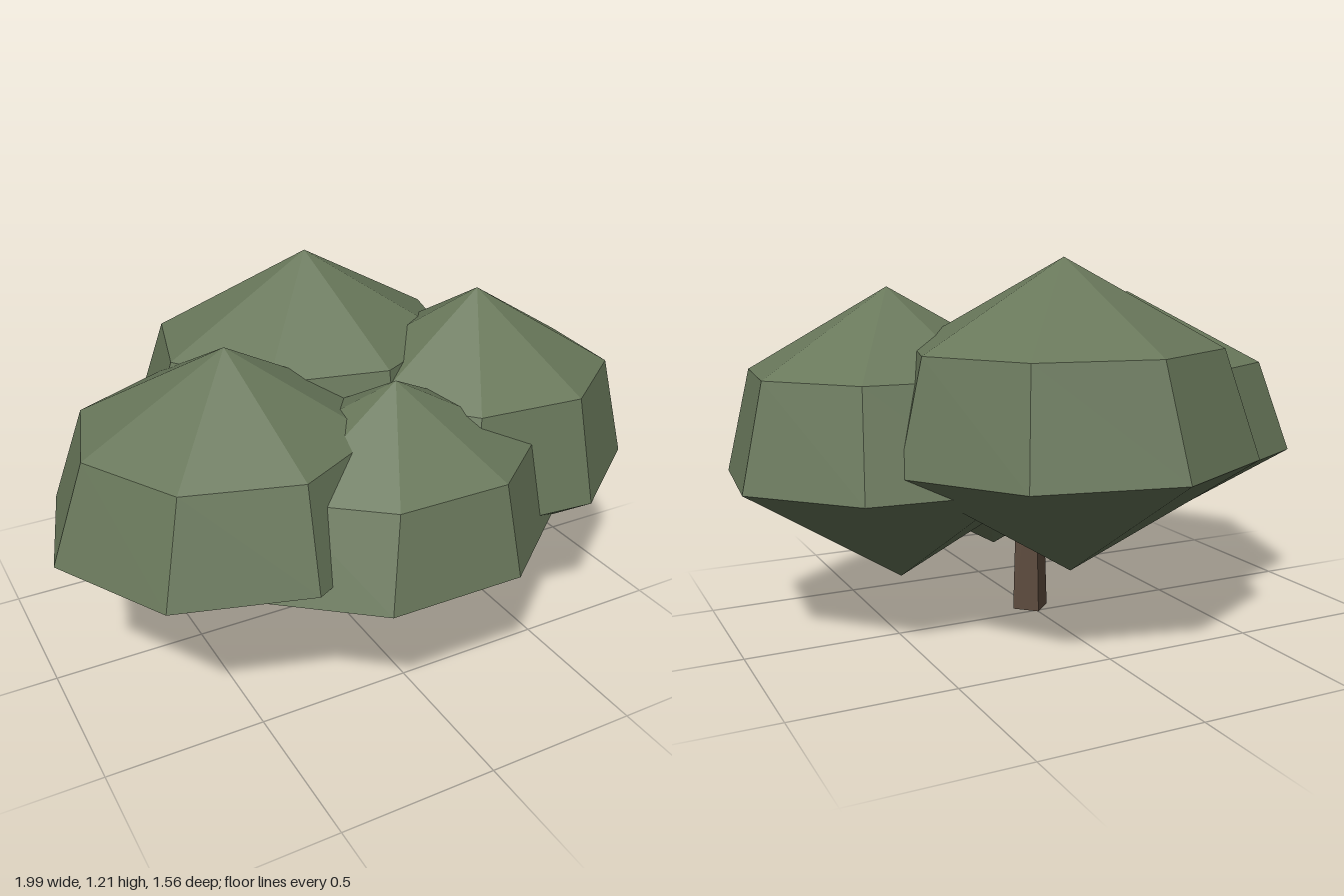
import * as THREE from 'three';

const SIDES = 8;

// Faceted leaf clump: a point below, two oval rings and a point on top
function clumpGeometry({ x, z, rx, rz, turn, heights, ratio }) {
  const [bottom, lower, upper, top] = heights;
  const ring = (y, scale, shift) => Array.from({ length: SIDES }, (_, i) => {
    const a = THREE.MathUtils.degToRad(turn + (i * 360) / SIDES);
    return [x + shift + rx * scale * Math.cos(a), y, z + rz * scale * Math.sin(a)];
  });
  const low = ring(lower, 1, 0);
  const high = ring(upper, ratio, 0.02);
  const foot = [x, bottom, z];
  const peak = [x + 0.028, top, z];

  const points = [];
  for (let i = 0; i < SIDES; i++) {
    const j = (i + 1) % SIDES;
    points.push(foot, low[i], low[j]);
    points.push(low[i], high[i], high[j], low[i], high[j], low[j]);
    points.push(high[i], peak, high[j]);
  }
  const geometry = new THREE.BufferGeometry();
  geometry.setAttribute('position', new THREE.Float32BufferAttribute(points.flat(), 3));
  geometry.computeVertexNormals();
  return geometry;
}

export function createModel() {
  const model = new THREE.Group();
  model.name = 'tree';

  const leaves = new THREE.MeshStandardMaterial({ color: 0x68775a });
  leaves.name = 'leaf green';
  leaves.flatShading = true;
  const bark = new THREE.MeshStandardMaterial({ color: 0x5c4a3c });
  bark.name = 'bark brown';
  bark.flatShading = true;

  // Four-sided trunk, corners facing the axes, running up into the leaves
  const trunk = new THREE.Mesh(new THREE.CylinderGeometry(0.045, 0.065, 0.6, 4), bark);
  trunk.name = 'trunk';
  trunk.position.set(0, 0.3, 0.052);
  model.add(trunk);

  // Leaf clumps; heights run from the lower point to the peak
  const clumps = {
    backClump: { x: 0, z: -0.242, rx: 0.611, rz: 0.547, turn: 36.4, ratio: 0.83, heights: [0.21, 0.588, 0.935, 1.21] },
    rightClump: { x: -0.448, z: 0.122, rx: 0.555, rz: 0.555, turn: 174, ratio: 0.83, heights: [0.193, 0.53, 0.838, 1.08] },
    leftClump: { x: 0.45, z: 0.11, rx: 0.566, rz: 0.518, turn: 27.7, ratio: 0.82, heights: [0.157, 0.52, 0.853, 1.115] },
    frontClump: { x: 0.003, z: 0.35, rx: 0.568, rz: 0.458, turn: 22.5, ratio: 0.83, heights: [0.155, 0.464, 0.745, 0.97] },
  };
  for (const [name, spec] of Object.entries(clumps)) {
    const clump = new THREE.Mesh(clumpGeometry(spec), leaves);
    clump.name = name;
    model.add(clump);
  }
  return model;
}
